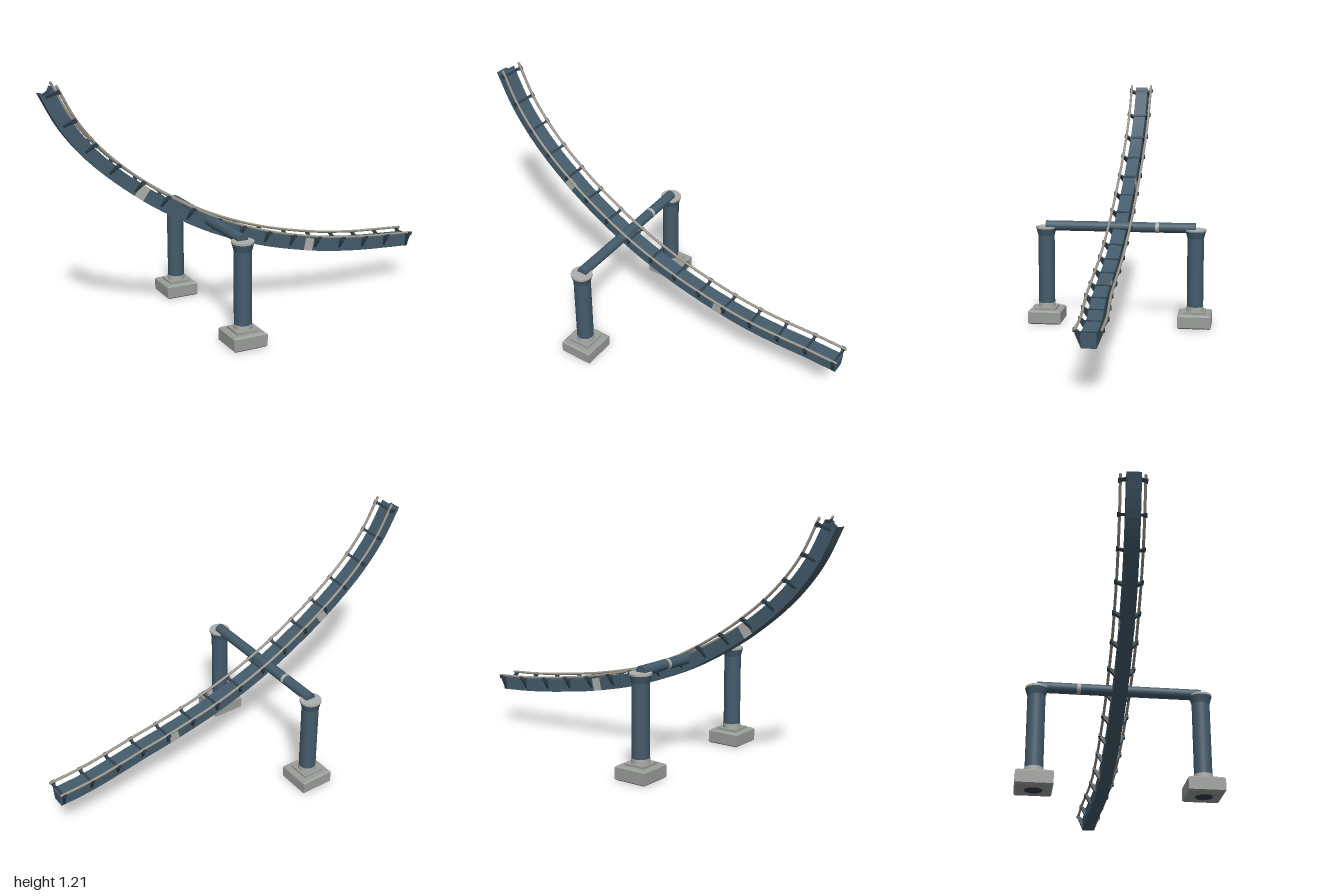
import * as THREE from 'three';

const material = (name, color, extra = {}) => {
  const m = new THREE.MeshStandardMaterial({ color, ...extra });
  m.name = name;
  return m;
};

export function createModel() {
  const steel = material('blue steel', 0x435b6b, { side: THREE.DoubleSide });
  const darkSteel = material('dark steel', 0x2f3f4a);
  const railMetal = material('rail metal', 0x99958a);
  const concrete = material('concrete', 0x9a9d9a);
  const plateGrey = material('light plate', 0xadafab);

  const model = new THREE.Group();
  model.name = 'trackSection';
  const add = (name, geometry, mat, parent = model) => {
    const mesh = new THREE.Mesh(geometry, mat);
    mesh.name = name;
    parent.add(mesh);
    return mesh;
  };

  // Centre line between the two rails
  const path = new THREE.CatmullRomCurve3([
    [-0.93, 1.205, -0.027], [-0.85, 1.05, -0.022], [-0.76, 0.932, -0.017], [-0.66, 0.833, -0.012],
    [-0.55, 0.744, -0.008], [-0.43, 0.66, -0.004], [-0.18, 0.52, 0], [0.1, 0.413, 0.002],
    [0.385, 0.344, 0.002], [0.53, 0.32, -0.001], [0.68, 0.3, -0.012], [0.83, 0.286, -0.024],
    [0.99, 0.276, -0.027],
  ].map((p) => new THREE.Vector3(...p)));
  path.arcLengthDivisions = 600;

  const frameAt = (u) => {
    const origin = path.getPointAt(u);
    const T = path.getTangentAt(u);
    const S = new THREE.Vector3().crossVectors(T, new THREE.Vector3(0, 1, 0)).normalize();
    const N = new THREE.Vector3().crossVectors(S, T);
    const at = (s, n, t = 0) => origin.clone().addScaledVector(S, s).addScaledVector(N, n).addScaledVector(T, t);
    const matrix = new THREE.Matrix4().makeBasis(S, N, T.clone().negate()).setPosition(origin);
    return { at, matrix };
  };

  // Sweep a cross-section of [side, height, setback at the start] along part of the path
  const sweep = (section, u0, u1, steps, cap) => {
    const rings = [];
    for (let i = 0; i <= steps; i++) {
      const f = frameAt(u0 + ((u1 - u0) * i) / steps);
      rings.push(section.map(([s, n, back = 0]) => f.at(s, n, i === 0 ? back : 0)));
    }
    const pos = [];
    const tri = (...v) => v.forEach((p) => pos.push(p.x, p.y, p.z));
    const k = section.length;
    for (let i = 0; i < steps; i++) {
      for (let j = 0; j < k; j++) {
        const a = rings[i][j], b = rings[i][(j + 1) % k];
        const d = rings[i + 1][j], c = rings[i + 1][(j + 1) % k];
        tri(a, d, c);
        tri(a, c, b);
      }
    }
    if (cap) for (let j = 1; j < k - 1; j++) tri(rings[steps][0], rings[steps][j + 1], rings[steps][j]);
    const g = new THREE.BufferGeometry();
    g.setAttribute('position', new THREE.Float32BufferAttribute(pos, 3));
    g.computeVertexNormals();
    return g;
  };

  // Box spine with a notched upper end
  const W = 0.033, TOP = -0.016, BOTTOM = -0.08;
  add('spineBeam', sweep([
    [-W, BOTTOM], [W, BOTTOM], [W, -0.048, 0.025], [W, TOP], [-W, TOP], [-W, -0.048, 0.025],
  ], 0, 1, 60, true), steel);

  // Pale plates on the sides of the spine
  for (const u of [0.288, 0.715]) {
    for (const side of [-1, 1]) {
      const a = side * W - 0.002, b = side * W + 0.002;
      add('sidePlate', sweep([[a, BOTTOM], [b, BOTTOM], [b, TOP], [a, TOP]], u - 0.011, u + 0.011, 3, true), plateGrey);
    }
  }

  // Running rails
  const GAUGE = 0.055;
  for (const side of [-1, 1]) {
    const points = [];
    for (let i = 0; i <= 50; i++) points.push(frameAt(i / 50).at(side * GAUGE, 0));
    const rail = new THREE.CatmullRomCurve3(points);
    add(side > 0 ? 'leftRail' : 'rightRail', new THREE.TubeGeometry(rail, 100, 0.0065, 8), railMetal);
    // Round end caps
    for (const p of [points[0], points[50]]) {
      add('railEnd', new THREE.SphereGeometry(0.0065, 8, 6), railMetal).position.copy(p);
    }
  }

  // Cross ties with sloping gussets and rail clips
  const tieGeometry = (bottom) => {
    const shape = new THREE.Shape([
      [-0.033, bottom], [0.033, bottom], [0.058, -0.02], [0.058, -0.006],
      [0.046, -0.006], [0.04, -0.014], [-0.04, -0.014], [-0.046, -0.006], [-0.058, -0.006], [-0.058, -0.02],
    ].map((p) => new THREE.Vector2(...p)));
    return new THREE.ExtrudeGeometry(shape, { depth: 0.012, bevelEnabled: false }).translate(0, 0, -0.006);
  };
  const midTie = tieGeometry(-0.062), endTie = tieGeometry(-0.08);
  const clip = new THREE.BoxGeometry(0.012, 0.016, 0.02);
  const COUNT = 16;
  for (let i = 0; i < COUNT; i++) {
    const tie = new THREE.Group();
    tie.name = 'crossTie';
    tie.applyMatrix4(frameAt(0.012 + (0.982 * i) / (COUNT - 1)).matrix);
    add('tieGusset', i === COUNT - 1 ? endTie : midTie, darkSteel, tie);
    for (const side of [-1, 1]) add('railClip', clip, darkSteel, tie).position.set(side * 0.059, -0.006, 0);
    model.add(tie);
  }

  // Support columns on footings
  const SX = -0.21, SZ = 0.385;
  const square = (h) => new THREE.Shape([[-h, -h], [h, -h], [h, h], [-h, h]].map((p) => new THREE.Vector2(...p)));
  for (const side of [-1, 1]) {
    const support = new THREE.Group();
    support.name = side > 0 ? 'frontSupport' : 'backSupport';
    support.position.set(SX, 0, side * SZ);
    const footing = new THREE.ExtrudeGeometry(square(0.077), {
      depth: 0.056, bevelThickness: 0.007, bevelSize: 0.008, bevelSegments: 1,
    }).rotateX(-Math.PI / 2).translate(0, 0.007, 0);
    add('footing', footing, concrete, support);
    add('basePlate', new THREE.BoxGeometry(0.11, 0.01, 0.11), concrete, support).position.y = 0.075;
    add('baseCollar', new THREE.CylinderGeometry(0.044, 0.044, 0.024, 32), plateGrey, support).position.y = 0.091;
    add('column', new THREE.CylinderGeometry(0.042, 0.042, 0.36, 32), steel, support).position.y = 0.28;
    add('columnFlare', new THREE.CylinderGeometry(0.052, 0.042, 0.036, 32), steel, support).position.y = 0.473;
    add('columnCap', new THREE.CylinderGeometry(0.053, 0.053, 0.01, 32), plateGrey, support).position.y = 0.496;
    add('columnFoot', new THREE.CylinderGeometry(0.042, 0.042, 0.004, 12), darkSteel, support).position.y = 0.001;
    model.add(support);
  }

  // Cross beam with its joint ring
  const tube = (name, r, length, z, mat) => {
    const m = add(name, new THREE.CylinderGeometry(r, r, length, 24), mat);
    m.rotation.x = Math.PI / 2;
    m.position.set(SX, 0.505, z);
  };
  tube('crossBeam', 0.026, SZ * 2, 0, steel);
  tube('jointRing', 0.0275, 0.018, -0.19, plateGrey);

  return model;
}
